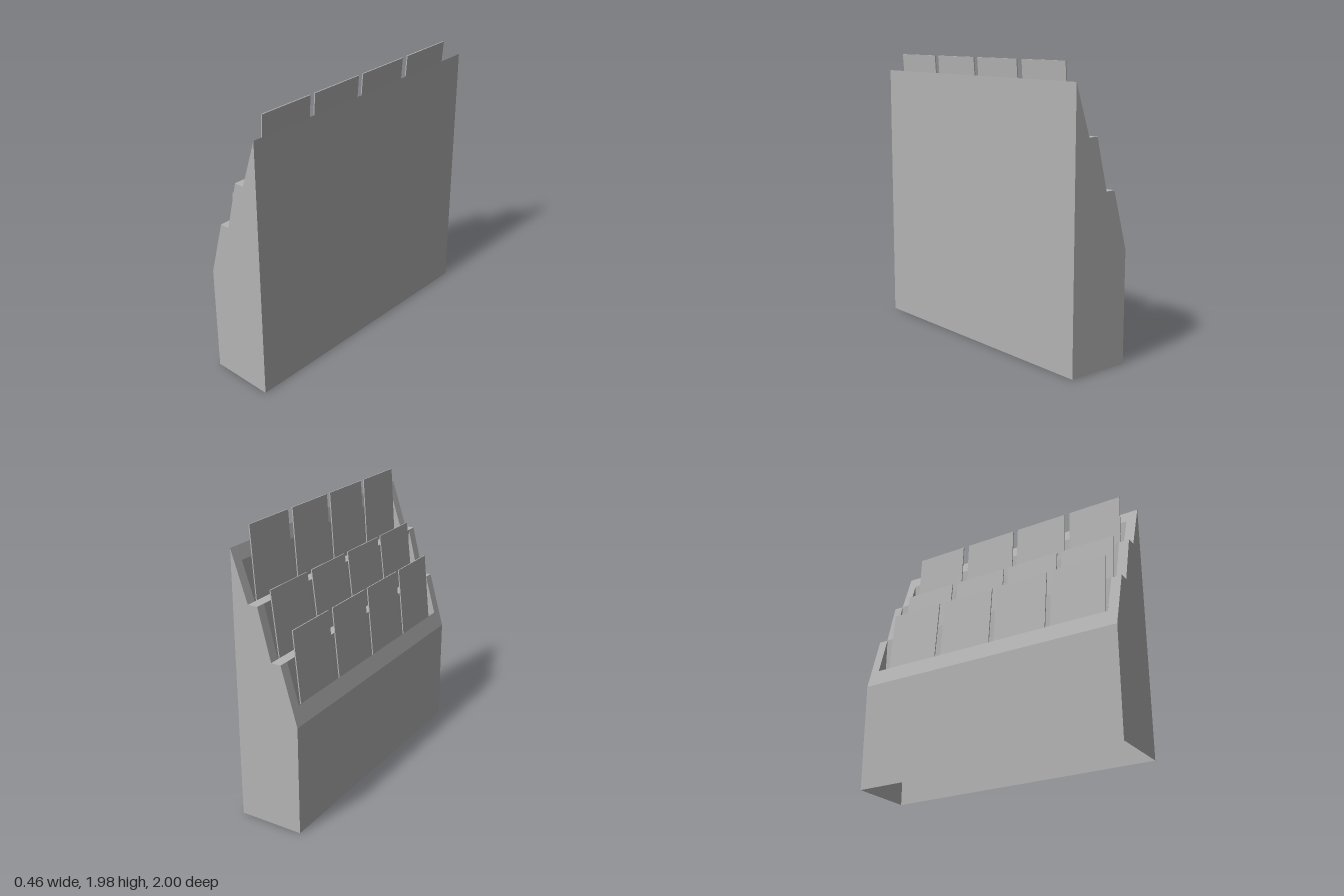
import * as THREE from 'three';

const grey = new THREE.MeshStandardMaterial({ color: 0xb4b4b4, side: THREE.DoubleSide });
grey.name = 'grey';

// Side outline, open at the underside, and the three pockets cut into its slopes
const outline = [[-0.23, 0], [-0.23, 0.77], [-0.115, 1.17], [-0.045, 1.17],
  [0.045, 1.52], [0.115, 1.52], [0.23, 1.86], [0.23, 0]];
const pockets = [
  [[-0.195, 0.892], [-0.195, 0.75], [-0.115, 0.75], [-0.115, 1.17]],
  [[-0.045, 1.17], [-0.045, 0.98], [0.045, 0.98], [0.045, 1.52]],
  [[0.115, 1.52], [0.115, 1.37], [0.2, 1.37], [0.2, 1.771]],
];
const zBack = -0.93, zFront = 0.925;

function add(parent, name, geometry) {
  const mesh = new THREE.Mesh(geometry, grey);
  mesh.name = name;
  parent.add(mesh);
  return mesh;
}

// Sheet of flat panels following a path in x and y, from z0 to z1
function sheet(path, z0, z1) {
  const pos = [];
  for (let i = 0; i < path.length - 1; i++) {
    const [a, b] = [path[i], path[i + 1]];
    pos.push(...a, z1, ...b, z1, ...b, z0, ...a, z1, ...b, z0, ...a, z0);
  }
  const g = new THREE.BufferGeometry();
  g.setAttribute('position', new THREE.Float32BufferAttribute(pos, 3));
  g.computeVertexNormals();
  return g;
}

// Flat panel across z, turned to face forward or backward
function panel(points, z, facing) {
  const g = new THREE.ShapeGeometry(new THREE.Shape(points.map(([x, y]) => new THREE.Vector2(x, y))));
  if (facing < 0) {
    g.rotateY(Math.PI);
    g.scale(-1, 1, 1);
    const index = g.index.array;
    for (let i = 0; i < index.length; i += 3) [index[i], index[i + 1]] = [index[i + 1], index[i]];
  }
  return g.translate(0, 0, z);
}

export function createModel() {
  const model = new THREE.Group();
  model.name = 'displayRack';

  // Hollow stepped body
  const body = new THREE.Group();
  body.name = 'body';
  model.add(body);
  add(body, 'frontEnd', panel(outline, 1, 1));
  add(body, 'backEnd', panel(outline, -1, -1));
  add(body, 'frontRim', sheet(outline, zFront, 1));
  add(body, 'backRim', sheet(outline, -1, zBack));
  const stepped = [...outline.slice(0, 2), ...pockets.flat(), ...outline.slice(6)];
  add(body, 'steppedShell', sheet(stepped, zBack, zFront));
  for (const pocket of pockets) {
    add(body, 'pocketFrontEnd', panel(pocket, zFront, -1));
    add(body, 'pocketBackEnd', panel(pocket, zBack, 1));
  }

  // Leaning cards, four to a row: bottom point, top point
  const rows = [
    [[-0.171, 0.77], [-0.112, 1.352]],
    [[-0.023, 1.0], [0.047, 1.585]],
    [[0.147, 1.39], [0.188, 1.98]],
  ];
  for (const [[x0, y0], [x1, y1]] of rows) {
    for (const z of [-0.66, -0.205, 0.24, 0.685]) {
      const card = add(model, 'card', new THREE.BoxGeometry(0.008, Math.hypot(x1 - x0, y1 - y0), 0.405));
      card.position.set((x0 + x1) / 2, (y0 + y1) / 2, z);
      card.rotation.z = -Math.atan2(x1 - x0, y1 - y0);
    }
  }
  return model;
}
